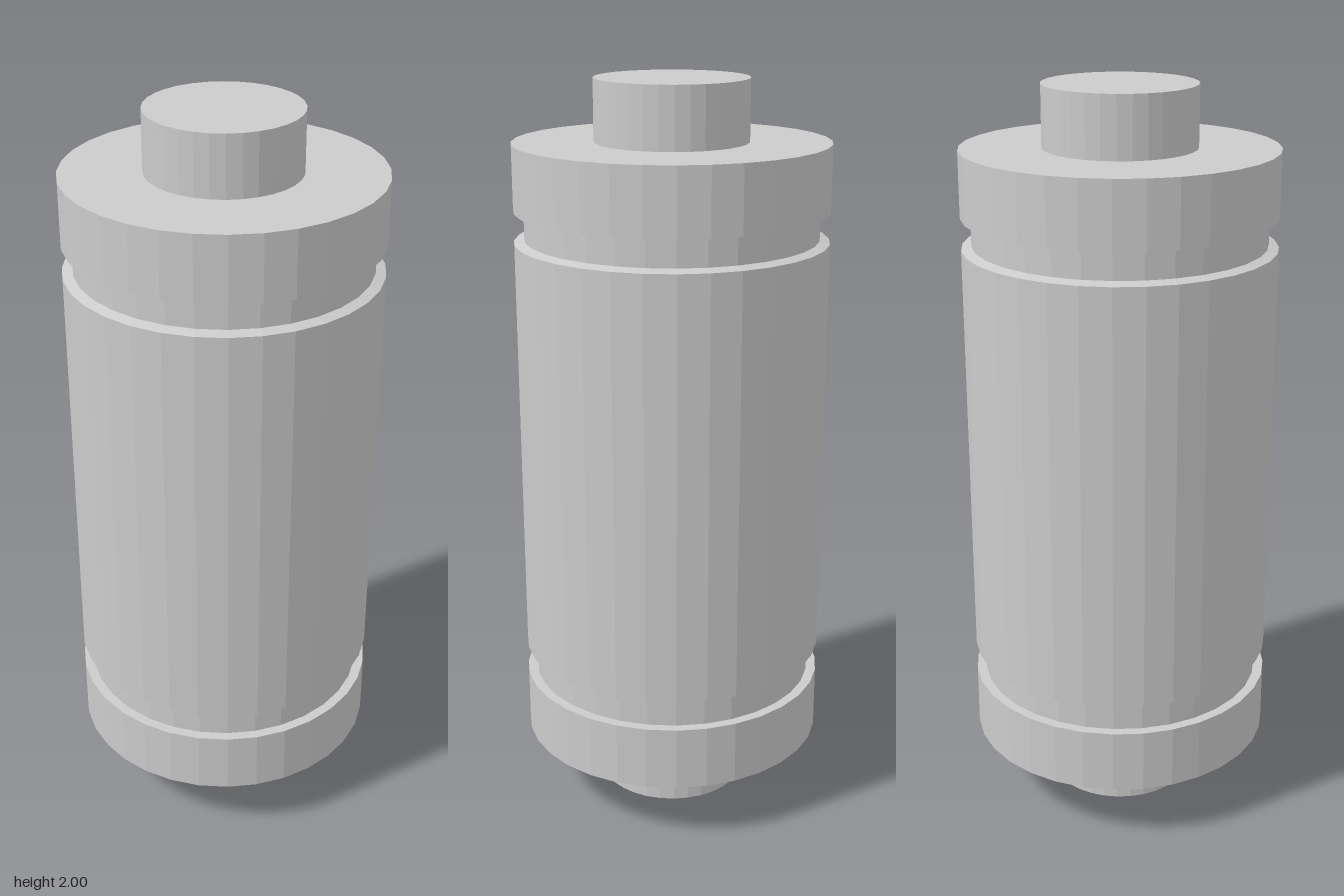
import * as THREE from 'three';

const SIDES = 32;
const R = 0.417, GROOVE_R = 0.39, PIN_R = 0.203;

export function createModel() {
  const group = new THREE.Group();
  group.name = 'roller';
  const material = new THREE.MeshStandardMaterial({ color: 0xcccccc, flatShading: true });

  const add = (name, geometry, y) => {
    const mesh = new THREE.Mesh(geometry, material);
    mesh.name = name;
    mesh.position.y = y;
    group.add(mesh);
  };

  // Main barrel with both grooves; its shoulders slope slightly into the grooves
  const half = [[GROOVE_R, 0.663], [GROOVE_R, 0.584], [R, 0.576]];
  const profile = [
    ...half.map(([r, y]) => new THREE.Vector2(r, -y)),
    ...half.slice().reverse().map(([r, y]) => new THREE.Vector2(r, y)),
  ];
  add('barrel', new THREE.LatheGeometry(profile, SIDES), 1.004);

  // End caps: annular discs that the pins pass out of
  const collar = (y0, y1, name) => {
    add(name, new THREE.CylinderGeometry(R, R, y1 - y0, SIDES), (y0 + y1) / 2);
  };
  collar(0.17, 0.345, 'lowerCap');
  collar(1.663, 1.838, 'upperCap');

  // Axle pins
  const pin = (y0, y1, name) => {
    add(name, new THREE.CylinderGeometry(PIN_R, PIN_R, y1 - y0, SIDES), (y0 + y1) / 2);
  };
  pin(0, 0.18, 'lowerPin');
  pin(1.83, 2, 'upperPin');

  return group;
}
